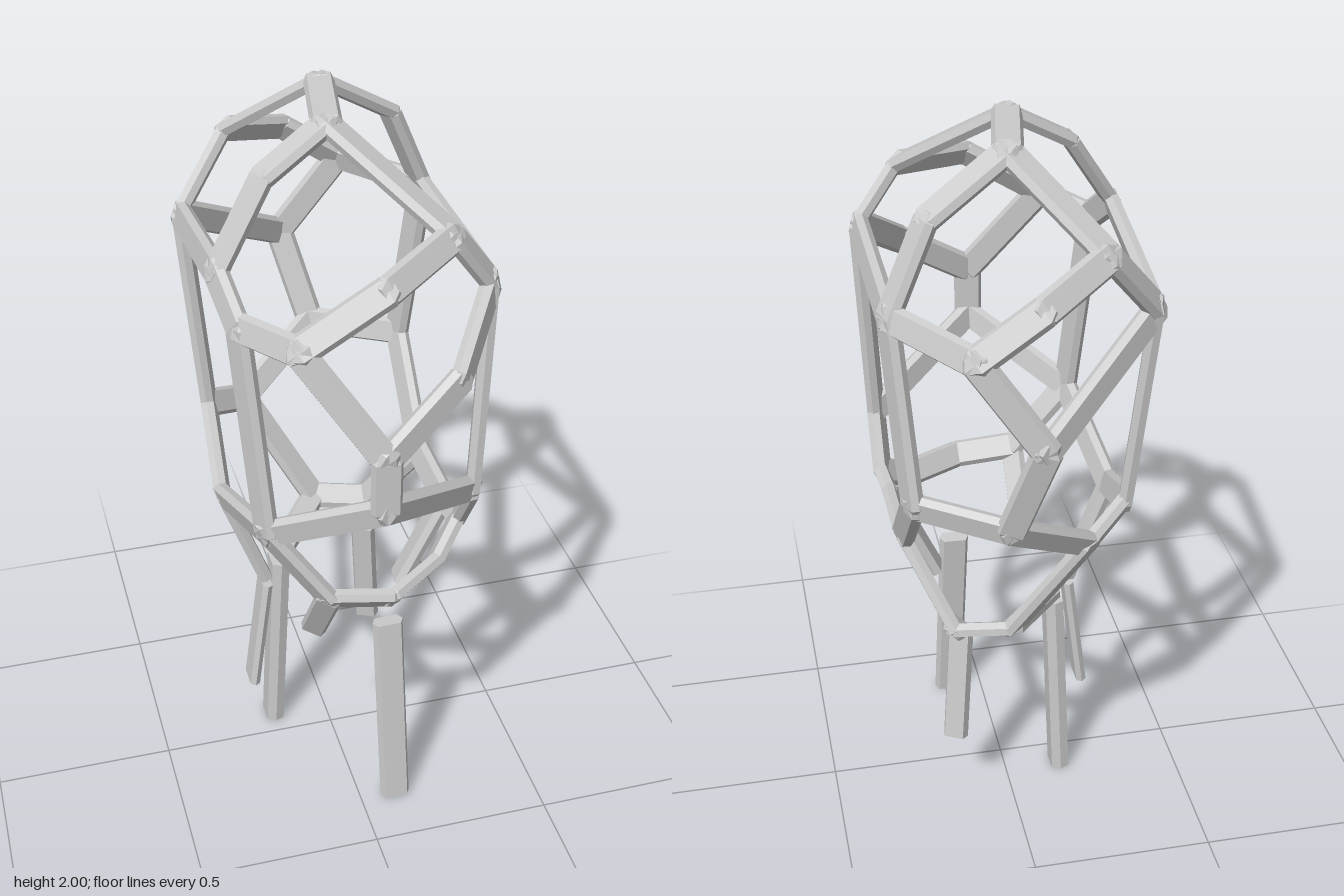
import * as THREE from 'three';

const steel = new THREE.MeshStandardMaterial({ color: 0xcccccc });
steel.name = 'lightGrey';

// Joints of the cage
const N = {
  topBack: [0.02, 1.98, -0.19], topFront: [-0.03, 1.98, 0.07],
  crownLeft: [0.225, 1.85, -0.25], crownRight: [-0.20, 1.88, 0.115],
  leftBack: [0.325, 1.62, -0.275], leftFront: [0.325, 1.62, 0.29],
  browLeft: [0.215, 1.77, 0.315], browMid: [0.01, 1.73, 0.46], browRight: [-0.20, 1.60, 0.455],
  rightTop: [-0.33, 1.68, 0.175], rightFront: [-0.305, 1.59, 0.29], rightBack: [-0.325, 1.60, -0.31],
  rearHigh: [-0.18, 1.785, -0.395], rearMid: [0, 1.72, -0.515], rearLeft: [0.16, 1.61, -0.52],
  rearTip: [0, 1.38, -0.565], rearLow: [0.07, 1.12, -0.49],
  noseTop: [-0.015, 1.335, 0.563], noseLow: [-0.015, 1.19, 0.563], cheekLeft: [0.19, 1.48, 0.48],
  sideLow: [0.295, 1.035, 0.32], sideBase: [0.295, 0.885, 0.225],
  keelFront: [0.285, 0.87, 0.13], keelBack: [0.285, 0.88, -0.1], sideRear: [0.29, 1.13, -0.345],
  chinLeft: [0.20, 0.815, 0.32], chinMid: [0.05, 0.80, 0.42], chinRight: [-0.115, 0.82, 0.405],
  jawRight: [-0.265, 1.03, 0.365], rightLow: [-0.305, 0.91, 0.01], rightRear: [-0.28, 1.03, -0.265],
  rearRight: [-0.16, 0.97, -0.36], baseRear: [0.02, 0.655, -0.265], baseLeft: [0.17, 0.645, -0.23],
  stubChin: [-0.12, 0.61, 0.265], stubKeel: [0.165, 0.61, 0.12], stubRight: [-0.195, 0.61, 0.015],
  stubRear: [-0.125, 0.62, -0.08], stubLeft: [0.15, 0.61, -0.16],
};

// Chains of joints linked by struts
const chains = [
  'topFront topBack crownLeft leftBack leftFront browLeft topFront crownRight rightTop rightBack',
  'browLeft browMid browRight rightFront rightTop',
  'topBack rearHigh rearMid rearLeft leftBack sideRear keelBack keelFront sideBase sideLow leftFront',
  'rearHigh rightBack rearTip rearLeft',
  'rearTip rearLow sideRear',
  'rearLow rearRight rightRear rightBack',
  'rearRight baseRear baseLeft keelBack',
  'rightRear rightLow jawRight rightFront',
  'browRight noseTop cheekLeft leftFront',
  'noseTop noseLow sideLow',
  'noseLow jawRight chinRight chinMid chinLeft sideBase',
];
// Lower struts that end flat above the legs, with their widths
const stubs = [
  ['chinRight', 'stubChin', 0.07], ['keelFront', 'stubKeel', 0.08], ['rightLow', 'stubRight', 0.055],
  ['baseRear', 'stubRear', 0.07], ['baseLeft', 'stubLeft', 0.07],
];

// Flat hexagonal bar; each end is either pointed past its joint or square
function bar(a, b, outward, pointStart, pointEnd, width = 0.078, depth = 0.036) {
  const A = new THREE.Vector3(...a), B = new THREE.Vector3(...b);
  const d = B.clone().sub(A).normalize();
  const n = outward.clone().addScaledVector(d, -outward.dot(d)).normalize();
  const s = n.clone().cross(d);
  const w = width / 2, h = depth / 2;
  const section = [[w, 0], [w * 0.76, h], [-w * 0.76, h], [-w, 0], [-w * 0.76, -h], [w * 0.76, -h]];
  const rings = [];
  if (pointStart) rings.push([A.clone().addScaledVector(d, -0.022), 0.5]);
  rings.push([A, 1], [B, 1]);
  if (pointEnd) rings.push([B.clone().addScaledVector(d, 0.022), 0.5]);

  const pos = [], index = [];
  for (const [c, k] of rings) {
    for (const [u, v] of section) {
      const p = c.clone().addScaledVector(s, u * k).addScaledVector(n, v * k);
      pos.push(p.x, p.y, p.z);
    }
  }
  for (let i = 0; i < rings.length - 1; i++) {
    for (let j = 0; j < 6; j++) {
      const p = i * 6 + j, q = i * 6 + (j + 1) % 6;
      index.push(p, q, q + 6, p, q + 6, p + 6);
    }
  }
  const last = (rings.length - 1) * 6;
  for (let j = 1; j < 5; j++) {
    index.push(0, j + 1, j, last, last + j, last + j + 1);
  }
  const g = new THREE.BufferGeometry();
  g.setAttribute('position', new THREE.Float32BufferAttribute(pos, 3));
  g.setIndex(index);
  const flat = g.toNonIndexed();
  flat.computeVertexNormals();
  return flat;
}

// Direction facing out of the egg-shaped cage
function shellNormal(a, b) {
  const [x, y, z] = a.map((v, i) => (v + b[i]) / 2);
  return new THREE.Vector3(x / 0.11, (y - 1.3) / 0.46, z / 0.32);
}

export function createModel() {
  const model = new THREE.Group();
  model.name = 'strutCageOnLegs';
  const cage = new THREE.Group();
  cage.name = 'cage';
  const legs = new THREE.Group();
  legs.name = 'legs';
  model.add(cage, legs);

  const add = (group, name, geometry) => {
    const m = new THREE.Mesh(geometry, steel);
    m.name = name;
    group.add(m);
  };

  // Cage struts
  for (const chain of chains) {
    const p = chain.split(' ').map((k) => N[k]);
    for (let i = 0; i < p.length - 1; i++) {
      add(cage, 'strut', bar(p[i], p[i + 1], shellNormal(p[i], p[i + 1]), true, true));
    }
  }
  for (const [from, to, width] of stubs) {
    add(cage, 'lowerStrut', bar(N[from], N[to], shellNormal(N[from], N[to]), true, false, width));
  }

  // Two long and two short legs
  const X = new THREE.Vector3(-1, 0, 0), Z = new THREE.Vector3(0, 0, 1);
  add(legs, 'frontLeg', bar([0.085, 0.6, 0.28], [0.10, 0, 0.34], Z, false, false, 0.085, 0.042));
  add(legs, 'rearLeg', bar([-0.135, 0.6, -0.07], [-0.16, 0, -0.08], X, false, false, 0.08, 0.05));
  add(legs, 'rightShortLeg', bar([-0.195, 0.6, 0.015], [-0.24, 0.245, 0.015], X, false, false, 0.085, 0.028));
  add(legs, 'leftShortLeg', bar([0.14, 0.6, -0.155], [0.165, 0.245, -0.185], new THREE.Vector3(0.5, 0, -1), false, false, 0.07, 0.045));
  return model;
}
